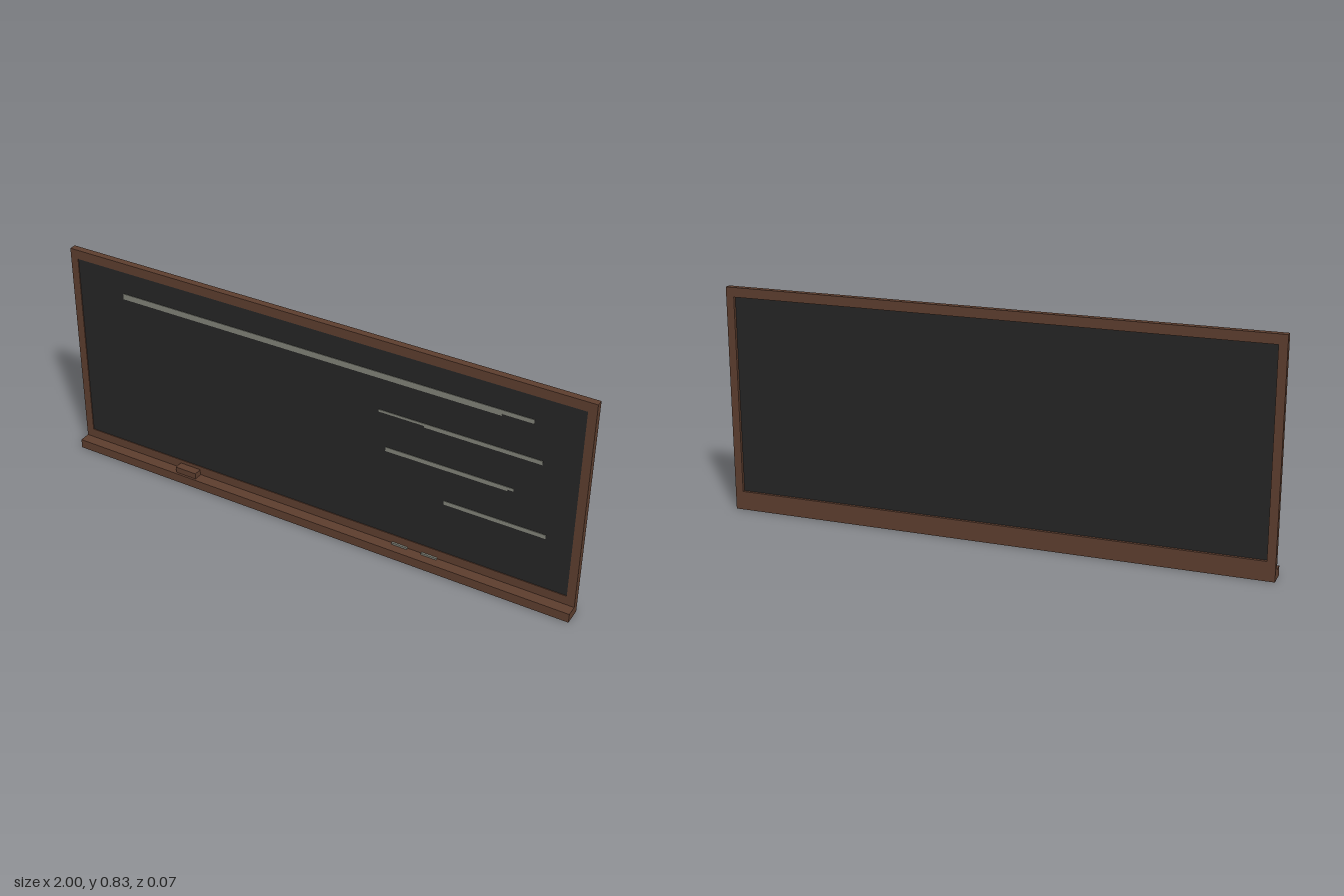
import * as THREE from 'three';

export function createModel() {
  const model = new THREE.Group();
  model.name = 'chalkboard';

  const material = (name, color) => {
    const m = new THREE.MeshStandardMaterial({ color });
    m.name = name;
    return m;
  };
  const wood = material('dark wood', 0x5c3d2e);
  const slate = material('slate', 0x252525);
  const chalk = material('chalk', 0x7f8076);

  // Box given by its limits on each axis
  const box = (name, mat, [x0, x1], [y0, y1], [z0, z1]) => {
    const mesh = new THREE.Mesh(new THREE.BoxGeometry(x1 - x0, y1 - y0, z1 - z0), mat);
    mesh.position.set((x0 + x1) / 2, (y0 + y1) / 2, (z0 + z1) / 2);
    mesh.name = name;
    model.add(mesh);
    return mesh;
  };

  // Frame around the recessed board
  const depth = [-0.033, -0.008];
  box('topRail', wood, [-1, 1], [0.8, 0.835], depth);
  box('bottomRail', wood, [-0.97, 0.97], [0.035, 0.07], depth);
  box('rightStile', wood, [-1, -0.97], [0.035, 0.8], depth);
  box('leftStile', wood, [0.97, 1], [0.035, 0.8], depth);
  box('board', slate, [-0.97, 0.97], [0.07, 0.8], [-0.022, -0.011]);

  // Tray with eraser and two sticks of chalk
  box('tray', wood, [-1, 1], [0, 0.035], [-0.033, 0.033]);
  box('eraser', wood, [-0.568, -0.482], [0.035, 0.058], [-0.006, 0.025]);
  for (const [x0, x1] of [[0.32, 0.38], [0.435, 0.495]]) {
    box('chalkStick', chalk, [x0, x1], [0.035, 0.042], [-0.006, 0.001]);
  }

  // Chalk strokes: x start, x end, y bottom, y top
  const strokes = [
    [-0.78, 0.69, 0.69, 0.712], [0.69, 0.8, 0.697, 0.712],
    [0.25, 0.42, 0.559, 0.568], [0.42, 0.84, 0.553, 0.568],
    [0.28, 0.73, 0.41, 0.426], [0.73, 0.75, 0.416, 0.426],
    [0.505, 0.875, 0.271, 0.286],
  ];
  for (const [x0, x1, y0, y1] of strokes) {
    box('chalkStroke', chalk, [x0, x1], [y0, y1], [-0.012, -0.009]);
  }

  return model;
}
